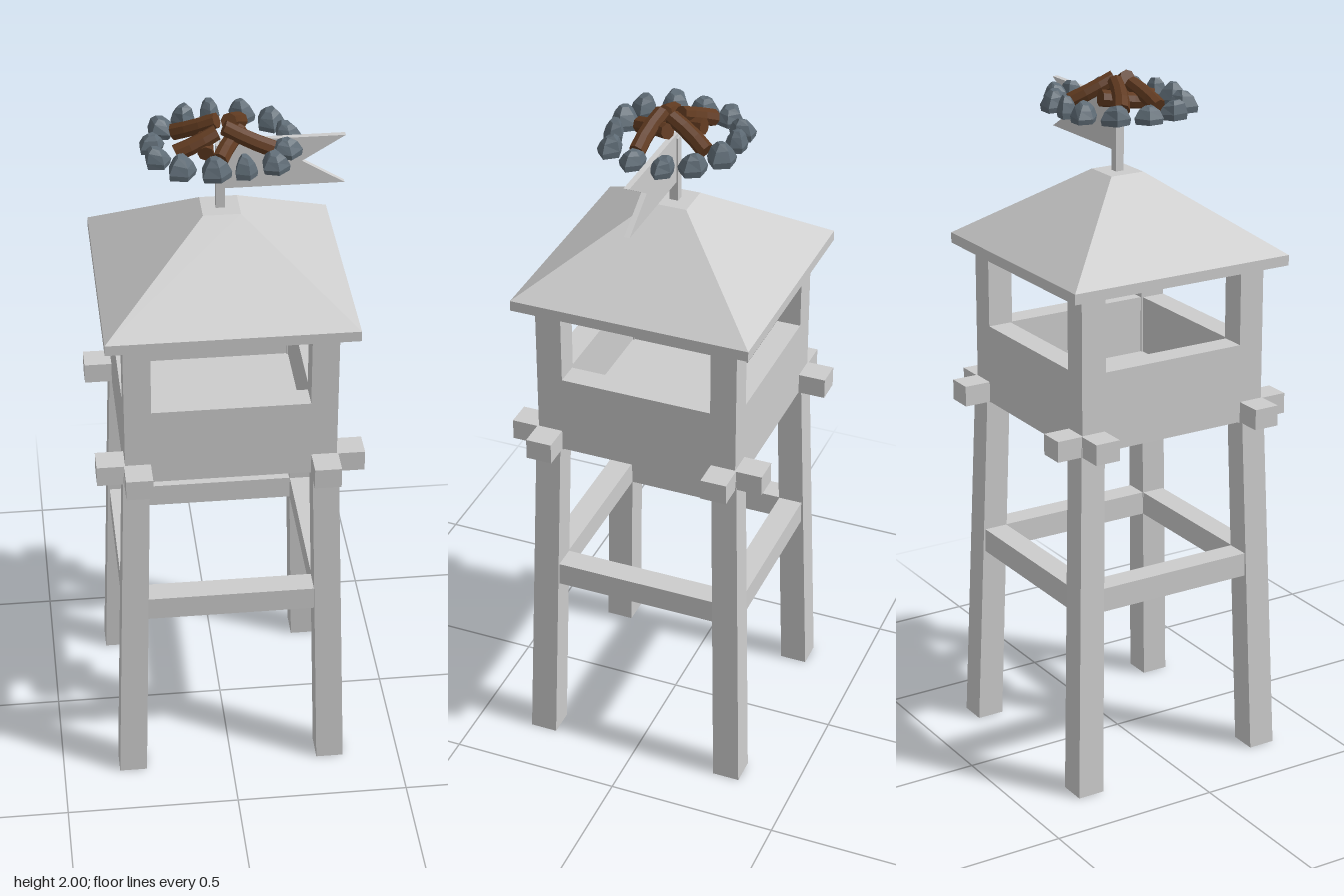
import * as THREE from 'three';

const mat = (name, color, flatShading = true) => {
  const m = new THREE.MeshStandardMaterial({ color, flatShading });
  m.name = name;
  return m;
};

export function createModel() {
  const grey = mat('plain grey', 0xcccccc);
  const bark = mat('log brown', 0x603a20);
  const rock = mat('stone grey', 0x5f6c76);

  const model = new THREE.Group();
  model.name = 'watchtower';
  const group = (name) => {
    const g = new THREE.Group();
    g.name = name;
    model.add(g);
    return g;
  };
  const add = (parent, name, geo, material, x = 0, y = 0, z = 0) => {
    const m = new THREE.Mesh(geo, material);
    m.name = name;
    m.position.set(x, y, z);
    parent.add(m);
    return m;
  };
  const box = (parent, name, w, h, d, x, y, z) =>
    add(parent, name, new THREE.BoxGeometry(w, h, d), grey, x, y, z);

  // Four corners: leaning leg, upright post and two projecting beam ends
  const corners = group('corners');
  for (const sx of [-1, 1]) for (const sz of [-1, 1]) {
    const leg = new THREE.BoxGeometry(1, 1.05, 1);
    const p = leg.attributes.position;
    for (let i = 0; i < p.count; i++) {
      const top = p.getY(i) > 0;
      const w = top ? 0.074 : 0.08, c = top ? 0.264 : 0.295;
      p.setX(i, p.getX(i) * w + sx * c);
      p.setZ(i, p.getZ(i) * w + sz * c);
    }
    leg.computeVertexNormals();
    add(corners, 'leg', leg, grey, 0, 0.525, 0);
    box(corners, 'post', 0.075, 0.46, 0.075, sx * 0.2575, 1.25, sz * 0.2575);
    box(corners, 'beamEnd', 0.15, 0.06, 0.075, sx * 0.299, 1.052, sz * 0.261);
    box(corners, 'beamEnd', 0.075, 0.06, 0.15, sx * 0.261, 1.052, sz * 0.299);
  }

  // Cross braces and cabin walls, one of each per side
  for (let i = 0; i < 4; i++) {
    const side = group('side');
    side.rotation.y = i * Math.PI / 2;
    box(side, 'brace', 0.51, 0.07, 0.07, 0, 0.585, 0.275);
    box(side, 'wall', 0.59, 0.23, 0.07, 0, 1.137, 0.26);
  }
  box(model, 'floor', 0.58, 0.06, 0.58, 0, 1.053, 0);

  // Roof: eave slab and truncated pyramid
  const roof = group('roof');
  box(roof, 'eaves', 0.69, 0.03, 0.69, 0, 1.493, 0);
  const s = Math.SQRT2;
  const slope = new THREE.CylinderGeometry(0.052 * s, 0.345 * s, 0.213, 4);
  slope.rotateY(Math.PI / 4);
  add(roof, 'slopes', slope, grey, 0, 1.6145, 0);

  // Pole with a swallowtail flag
  const flagGroup = group('flag');
  box(flagGroup, 'pole', 0.025, 0.2, 0.025, 0, 1.81, 0);
  const shape = new THREE.Shape([[0, 1.778], [0.34, 1.778], [0.222, 1.85], [0.34, 1.922], [0, 1.922]]
    .map(([x, y]) => new THREE.Vector2(x, y)));
  const cloth = new THREE.ExtrudeGeometry(shape, { depth: 0.016, bevelEnabled: false });
  add(flagGroup, 'cloth', cloth, grey, 0, 0, -0.008);

  // Bent logs: outer end, inner end, sideways bend
  const logs = group('logs');
  [
    [[-0.12, 1.92, -0.062], [-0.008, 1.975, -0.012], 0.006],
    [[0.065, 1.918, -0.113], [0.023, 1.978, 0.002], 0.006],
    [[0.135, 1.918, 0.056], [0.006, 1.978, 0.036], -0.006],
    [[-0.012, 1.918, 0.108], [0.055, 1.95, 0], -0.005],
    [[-0.124, 1.918, 0.054], [-0.012, 1.965, 0.036], 0.005],
    [[-0.027, 1.94, -0.072], [-0.045, 1.918, 0.067], 0.005],
  ].forEach(([a, b, bend]) => {
    const from = new THREE.Vector3(...a), to = new THREE.Vector3(...b);
    const dir = to.clone().sub(from), len = dir.length();
    dir.normalize();
    const geo = new THREE.CylinderGeometry(0.022, 0.024, len, 8, 3);
    const p = geo.attributes.position;
    for (let i = 0; i < p.count; i++) {
      const t = 2 * p.getY(i) / len;
      p.setX(i, p.getX(i) + bend * (1 - t * t));
    }
    const across = new THREE.Vector3().crossVectors(dir, new THREE.Vector3(0, 1, 0)).normalize();
    const normal = new THREE.Vector3().crossVectors(across, dir);
    geo.applyMatrix4(new THREE.Matrix4().makeBasis(across, dir, normal));
    geo.computeVertexNormals();
    const mid = from.add(to).multiplyScalar(0.5);
    add(logs, 'log', geo, bark, mid.x, mid.y, mid.z);
  });

  // Ring of faceted stones: x, z, radius
  const stones = group('stones');
  const profile = [[0, 0], [0.92, 0], [1, 0.3], [0.72, 0.75], [0.36, 1], [0, 1]]
    .map(([r, y]) => new THREE.Vector2(r, y));
  [
    [-0.088, -0.162, 0.037], [-0.012, -0.168, 0.032], [0.074, -0.162, 0.038], [0.15, -0.108, 0.04],
    [0.186, -0.036, 0.037], [0.176, 0.052, 0.038], [0.132, 0.136, 0.038], [0.052, 0.158, 0.033],
    [-0.028, 0.16, 0.041], [-0.118, 0.138, 0.041], [-0.174, 0.07, 0.041], [-0.186, -0.016, 0.038],
    [-0.15, -0.098, 0.041],
  ].forEach(([x, z, r], n) => {
    const geo = new THREE.LatheGeometry(profile, 5);
    const p = geo.attributes.position;
    for (let i = 0; i < p.count; i++) {
      const px = p.getX(i), py = p.getY(i), pz = p.getZ(i);
      const k = 1 + 0.12 * Math.sin(3 * px + 2 * pz + n * 2.1);
      p.setXYZ(i, px * k + 0.1 * py * Math.sin(n), py * (1 + 0.15 * Math.sin(2 * px + n)), pz * k + 0.1 * py * Math.cos(n * 1.7));
    }
    geo.rotateY(n * 1.3);
    geo.scale(r, 0.054, r);
    geo.computeVertexNormals();
    add(stones, 'stone', geo, rock, x, 1.895, z);
  });

  return model;
}
